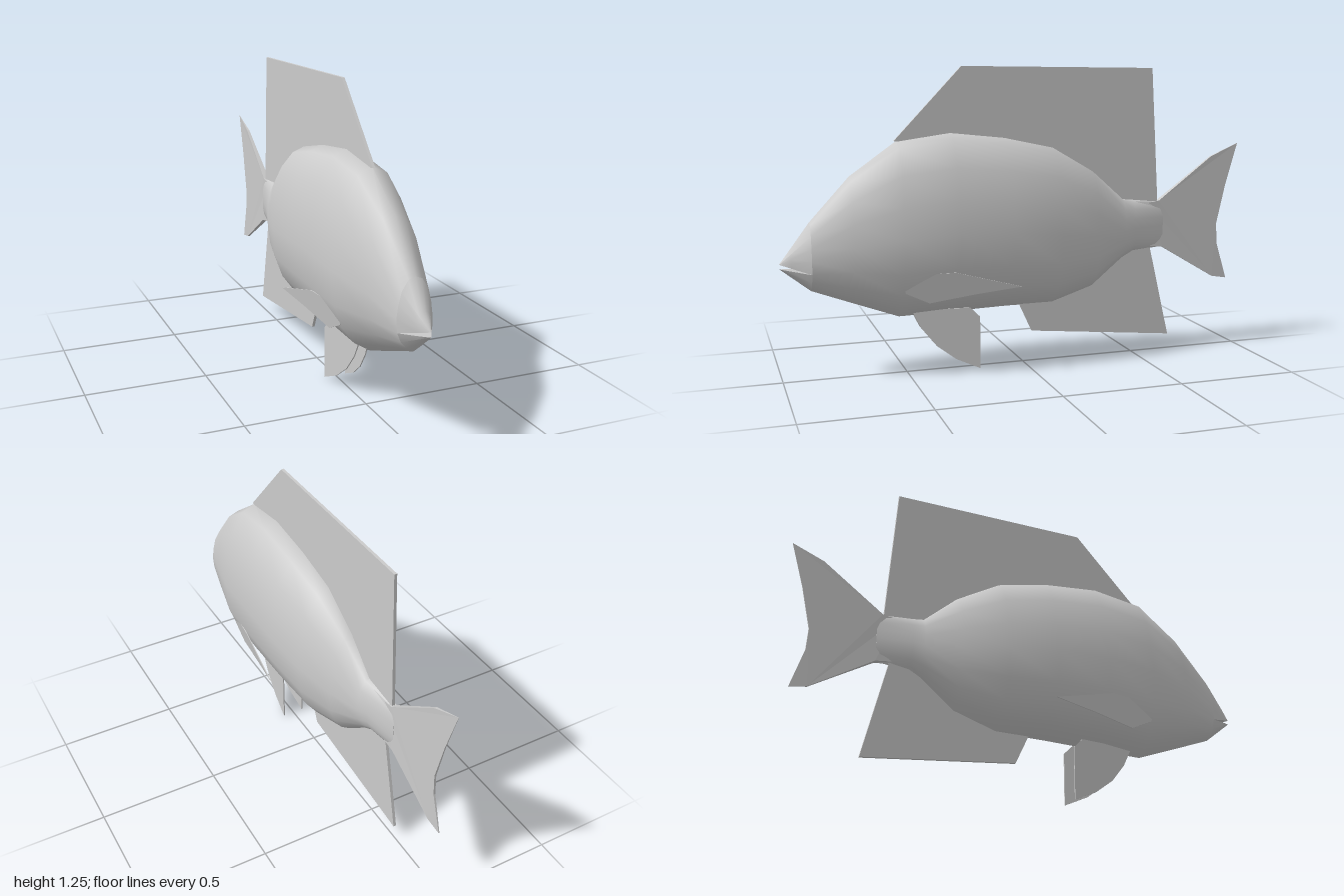
import * as THREE from 'three';
import { toCreasedNormals } from 'three/addons/utils/BufferGeometryUtils.js';

const material = new THREE.MeshStandardMaterial({ color: 0xcccccc, side: THREE.DoubleSide });

// Half cross-section: [width factor, height factor], belly to back
const PROFILE = [[0, 0], [0.41, 0.055], [0.73, 0.15], [0.94, 0.28], [1, 0.47],
  [0.91, 0.645], [0.74, 0.82], [0.38, 0.965], [0, 1]];

// Body stations, snout to tail: [z, top, bottom, half width]
const STATIONS = [
  [0.88, 0.64, 0.365, 0.07], [0.72, 0.815, 0.305, 0.115], [0.53, 0.95, 0.235, 0.16],
  [0.31, 0.98, 0.24, 0.17], [0.08, 0.955, 0.246, 0.166], [-0.13, 0.91, 0.247, 0.147],
  [-0.31, 0.805, 0.305, 0.103], [-0.45, 0.68, 0.42, 0.06], [-0.5, 0.675, 0.447, 0.046],
  [-0.64, 0.665, 0.462, 0.012],
];

// Closed ring from the profile points first..last plus their mirror images
function ring([z, top, bottom, w], first, last) {
  const half = PROFILE.slice(first, last + 1)
    .map(([u, t]) => new THREE.Vector3(u * w, bottom + t * (top - bottom), z));
  const other = half.filter(p => p.x > 0).reverse()
    .map(p => new THREE.Vector3(-p.x, p.y, p.z));
  return [...half, ...other];
}

// Skin over equal-length rings that run from front to back
function loft(name, rings, capBack = false) {
  const n = rings[0].length;
  const index = [];
  for (let i = 0; i < rings.length - 1; i++) {
    for (let j = 0; j < n; j++) {
      const a = i * n + j, b = i * n + (j + 1) % n;
      index.push(a, a + n, b, b, a + n, b + n);
    }
  }
  if (capBack) {
    const s = (rings.length - 1) * n;
    for (let j = 1; j < n - 1; j++) index.push(s, s + j + 1, s + j);
  }
  const g = new THREE.BufferGeometry().setFromPoints(rings.flat());
  g.setIndex(index);
  // Make sure the skin faces outwards
  const p = g.attributes.position, a = new THREE.Vector3(), b = new THREE.Vector3(), c = new THREE.Vector3();
  let volume = 0;
  for (let i = 0; i < index.length; i += 3) {
    a.fromBufferAttribute(p, index[i]);
    b.fromBufferAttribute(p, index[i + 1]);
    c.fromBufferAttribute(p, index[i + 2]);
    volume += a.dot(b.cross(c));
  }
  if (volume < 0) g.setIndex(index.reverse());
  const mesh = new THREE.Mesh(toCreasedNormals(g, 0.85), material);
  mesh.name = name;
  return mesh;
}

// Jaw: part of the first body ring drawn forward to a tip
function jaw(name, first, last, tipY) {
  const base = ring(STATIONS[0], first, last);
  const rings = [[1, 0.02], [0.955, 0.42], [0.88, 1]].map(([z, k]) => base.map(p =>
    new THREE.Vector3(p.x * k, THREE.MathUtils.lerp(tipY, p.y, (1 - z) / 0.12), z)));
  return loft(name, rings);
}

// Thin fin with a (z, y) outline; bend(x, y, z) returns the new x
function fin(name, outline, thickness, bend = x => x) {
  const shape = new THREE.Shape(outline.map(([z, y]) => new THREE.Vector2(z, y)));
  const g = new THREE.ExtrudeGeometry(shape, { depth: thickness, bevelEnabled: false });
  g.translate(0, 0, -thickness / 2);
  g.rotateY(-Math.PI / 2);
  const p = g.attributes.position;
  for (let i = 0; i < p.count; i++) p.setX(i, bend(p.getX(i), p.getY(i), p.getZ(i)));
  g.computeVertexNormals();
  const mesh = new THREE.Mesh(g, material);
  mesh.name = name;
  return mesh;
}

export function createModel() {
  const fish = new THREE.Group();
  fish.name = 'fish';

  // Body and the two jaws with the mouth slit between them
  fish.add(loft('body', STATIONS.map(s => ring(s, 0, 8)), true));
  fish.add(jaw('upperJaw', 3, 8, 0.478));
  fish.add(jaw('lowerJaw', 0, 3, 0.46));

  // Tail fin, thinning towards its trailing edge
  fish.add(fin('tailFin', [[-0.56, 0.655], [-0.62, 0.665], [-0.87, 0.85], [-1, 0.905], [-0.945, 0.72],
    [-0.905, 0.55], [-0.91, 0.46], [-0.96, 0.3], [-0.89, 0.312], [-0.64, 0.46], [-0.56, 0.47]],
  0.024, (x, y, z) => x * THREE.MathUtils.clamp((1.01 + z) / 0.3, 0.05, 1)));

  // Fins on the centre line, rooted inside the body
  fish.add(fin('dorsalFin', [[0.54, 0.95], [0.26, 1.245], [-0.58, 1.235], [-0.615, 0.65],
    [-0.44, 0.65], [-0.3, 0.76], [-0.11, 0.86], [0.3, 0.92]], 0.012));
  fish.add(fin('analFin', [[0.02, 0.26], [-0.04, 0.13], [-0.675, 0.065], [-0.58, 0.47],
    [-0.45, 0.48], [-0.3, 0.36], [-0.1, 0.3]], 0.012));

  // Paired fins
  for (const [side, label] of [[1, 'left'], [-1, 'right']]) {
    fish.add(fin(label + 'PelvicFin', [[0.48, 0.26], [0.44, 0.18], [0.38, 0.105], [0.3, 0.045],
      [0.2, 0], [0.2, 0.22], [0.24, 0.26]], 0.005,
    (x, y, z) => x + side * (0.02 + (0.48 - z) * 0.095)));
    fish.add(fin(label + 'PectoralFin', [[0.54, 0.43], [0.33, 0.435], [0.06, 0.365],
      [0.25, 0.34], [0.43, 0.31], [0.525, 0.355]], 0.004,
    (x, y, z) => x + side * (0.1206 - 0.1215 * z + 0.1827 * y)));
  }
  return fish;
}
